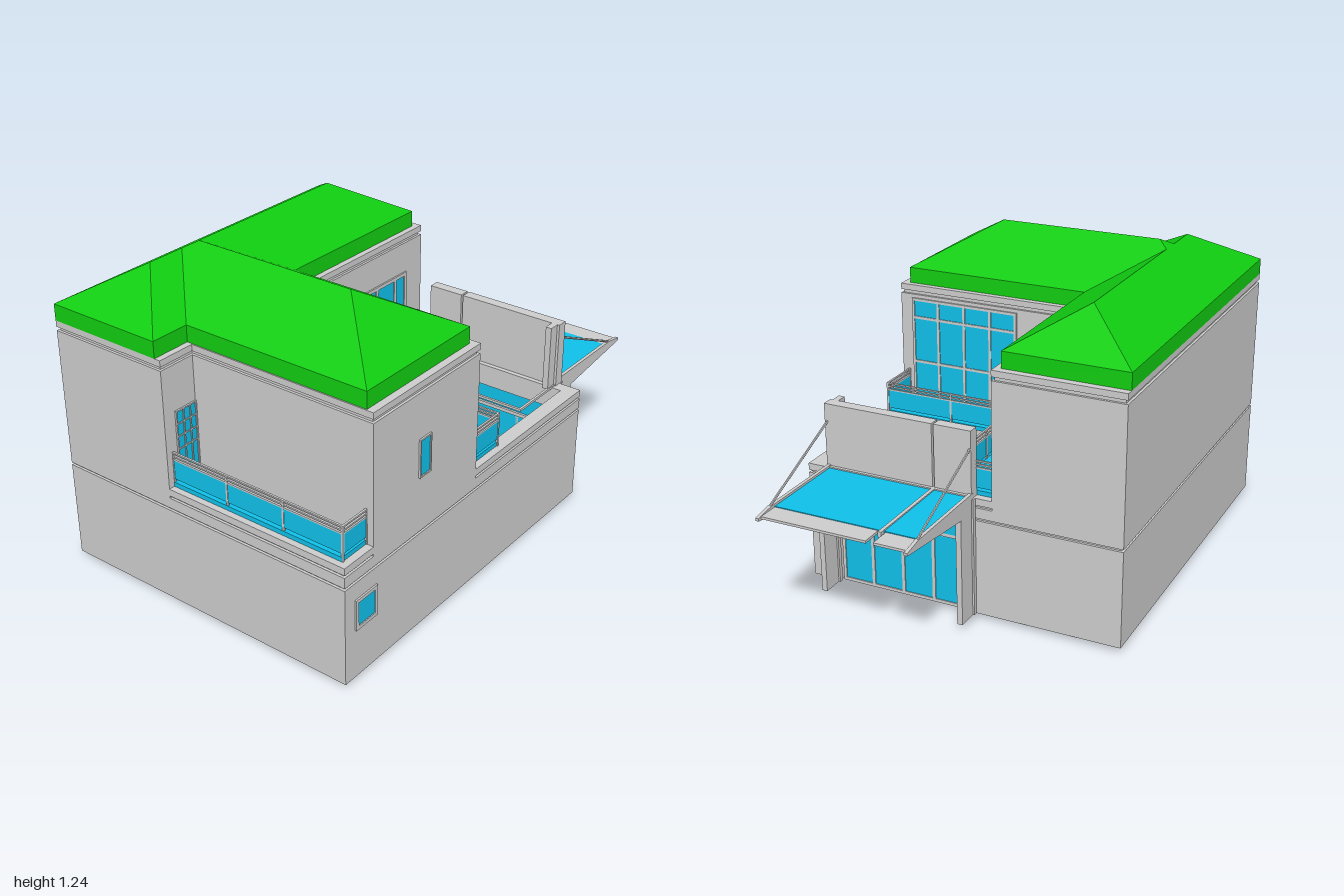
import * as THREE from 'three';

const paint = (color) => new THREE.MeshStandardMaterial({ color, flatShading: true, side: THREE.DoubleSide });

export function createModel() {
  const house = new THREE.Group();
  house.name = 'house';
  const grey = paint(0xcccccc), green = paint(0x11cc11), blue = paint(0x10bfe8), tan = paint(0xe8c8a0);

  function add(name, geometry, material, parent = house) {
    const mesh = new THREE.Mesh(geometry, material);
    mesh.name = name;
    parent.add(mesh);
    return mesh;
  }
  function box(name, x0, x1, y0, y1, z0, z1, material = grey, parent = house) {
    const g = new THREE.BoxGeometry(x1 - x0, y1 - y0, z1 - z0);
    g.translate((x0 + x1) / 2, (y0 + y1) / 2, (z0 + z1) / 2);
    return add(name, g, material, parent);
  }
  // Floor plan of [x, z] corners, raised from y0 to y1
  const toPath = (pts) => pts.map(([x, z]) => new THREE.Vector2(x, -z));
  const rect = (x0, x1, z0, z1) => [[x0, z0], [x1, z0], [x1, z1], [x0, z1]];
  function plan(name, pts, y0, y1, holes = [], material = grey) {
    const shape = new THREE.Shape(toPath(pts));
    for (const h of holes) shape.holes.push(new THREE.Path(toPath(h)));
    const g = new THREE.ExtrudeGeometry(shape, { depth: y1 - y0, bevelEnabled: false });
    g.rotateX(-Math.PI / 2).translate(0, y0, 0);
    return add(name, g, material);
  }
  // L-shaped plan: back wing plus front wing
  const ell = (x0, x1, zBack, zMid, fx0, fx1, zFront) => [
    [x0, zBack], [x1, zBack], [x1, zMid], [fx1, zMid], [fx1, zFront], [fx0, zFront], [fx0, zMid], [x0, zMid]];

  // Plinth and ground floor, with the courtyard open at the gate
  const stairwell = rect(-0.5, -0.25, -0.55, -0.28);
  const leftSlot = rect(-0.97, -0.845, -0.135, 0.62);
  plan('plinth', ell(-0.97, 0.48, -0.62, -0.16, -0.82, -0.25, 0.62), 0, 0.02, [stairwell]);
  plan('groundFloor', [[-1, -0.65], [0.51, -0.65], [0.51, -0.02], [0.46, -0.02], [0.46, -0.135], [-0.235, -0.135],
    [-0.235, 0.59], [0.46, 0.59], [0.46, 0.53], [0.51, 0.53], [0.51, 0.65], [-1, 0.65]], 0.02, 0.41, [leftSlot, stairwell]);

  // Stacked wall bands with narrow grooves between them
  const bands = [['groove', 0.41, 0.42, 0.01], ['parapet', 0.42, 0.462, 0], ['groove', 0.462, 0.472, 0.01], ['parapet', 0.472, 0.5, 0]];
  for (const [name, y0, y1, d] of bands) {
    plan(name, rect(-1 + d, 0.51 - d, -0.65 + d, 0.65 - d), y0, y1, [leftSlot, rect(-0.235, 0.46, -0.135, 0.59)]);
  }

  // Upper floor and cornice
  const upper = (d) => ell(-1 + d, 0.51 - d, -0.65 + d, -0.135 - d, -0.845 + d, -0.235 - d, 0.65 - d);
  plan('upperFloor', upper(0), 0.42, 0.97);
  plan('corniceGroove', upper(0.01), 0.97, 0.985);
  plan('cornice', upper(0), 0.985, 1.01);

  // Hipped roof over a fascia; both wings share one slope
  function hipRoof(name, x0, x1, z0, z1) {
    const e = 1.075, w = Math.min(x1 - x0, z1 - z0) / 2, top = e + w * 0.57;
    const a = [x0, e, z1], b = [x1, e, z1], c = [x1, e, z0], d = [x0, e, z0];
    const alongX = x1 - x0 > z1 - z0, xm = (x0 + x1) / 2, zm = (z0 + z1) / 2;
    const p = alongX ? [x0 + w, top, zm] : [xm, top, z1 - w];
    const q = alongX ? [x1 - w, top, zm] : [xm, top, z0 + w];
    const tris = alongX
      ? [a, b, q, a, q, p, b, c, q, c, d, p, c, p, q, d, a, p]
      : [a, b, p, b, c, q, b, q, p, c, d, q, d, a, p, d, p, q];
    const g = new THREE.BufferGeometry();
    g.setAttribute('position', new THREE.Float32BufferAttribute(tris.flat(), 3));
    g.computeVertexNormals();
    add(name, g, green);
    box(name + 'Fascia', x0, x1, 1.01, e, z0, z1, green);
  }
  hipRoof('backRoof', -1, 0.48, -0.65, -0.16);
  hipRoof('frontRoof', -0.84, -0.26, -0.65, 0.62);

  // Window on a wall facing +z (axis 'z') or +x (axis 'x'); cols and rows list the bar positions
  function glazing(name, axis, wall, cols, rows, bar = 0.01, material = blue) {
    const group = new THREE.Group();
    group.name = name;
    house.add(group);
    const [u0, u1, y0, y1] = [cols[0], cols.at(-1), rows[0], rows.at(-1)];
    const slab = (n, a0, a1, b0, b1, out, m) => axis === 'z'
      ? box(n, a0, a1, b0, b1, wall - 0.012, wall + out, m, group)
      : box(n, wall - 0.012, wall + out, b0, b1, a0, a1, m, group);
    slab('glass', u0, u1, y0, y1, 0.003, material);
    for (const u of cols) slab('mullion', u - bar / 2, u + bar / 2, y0 - bar / 2, y1 + bar / 2, 0.007, grey);
    for (const y of rows) slab('rail', u0, u1, y - bar / 2, y + bar / 2, 0.007, grey);
  }
  glazing('frontLowerWindow', 'z', 0.65, [-0.94, -0.835], [0.225, 0.335], 0.014);
  glazing('frontUpperWindow', 'z', 0.65, [-0.59, -0.53], [0.645, 0.79], 0.006);
  glazing('leftBalconyWindow', 'z', -0.135, [-0.945, -0.91, -0.877, -0.848], [0.52, 0.64, 0.69, 0.74, 0.79], 0.005);
  glazing('smallBackWindow', 'z', -0.135, [-0.07, -0.007], [0.64, 0.79], 0.006);
  glazing('balconyDoor', 'z', -0.135, [0.13, 0.205, 0.325, 0.395], [0.52, 0.835], 0.015);
  glazing('largeSideWindow', 'x', -0.235, [0.125, 0.24, 0.358, 0.477, 0.592], [0.525, 0.68, 0.873, 0.95], 0.011);
  glazing('smallSideWindow', 'x', -0.235, [-0.005, 0.06], [0.64, 0.79], 0.008);
  glazing('courtyardSideWindow', 'x', -0.235, [0.06, 0.19, 0.32, 0.45, 0.57], [0.04, 0.3, 0.38], 0.012);
  glazing('courtyardBackWindow', 'z', -0.135, [0.1, 0.2, 0.3, 0.4], [0.04, 0.36], 0.012);
  for (const y of [0.03, 0.51]) {
    glazing('door', 'z', -0.135, [-0.225, -0.125], [y, y + 0.28], 0.006, tan);
    box('doorPane', -0.19, -0.165, y + 0.2, y + 0.24, -0.14, -0.13, blue);
  }

  // Balcony floors
  box('leftBalconyFloor', -0.975, -0.84, 0.5, 0.518, -0.135, 0.62, blue);
  plan('courtyardBalconyFloor', [[-0.235, -0.135], [0.48, -0.135], [0.48, 0.035], [-0.05, 0.035], [-0.05, 0.62], [-0.235, 0.62]],
    0.5, 0.518, [], blue);

  // Railings: glass panel, three rails, posts
  function railing(name, x0, z0, x1, z1) {
    const group = new THREE.Group();
    group.name = name;
    const length = Math.hypot(x1 - x0, z1 - z0), n = Math.max(1, Math.round(length / 0.28));
    box('glass', 0, length, 0.53, 0.607, -0.002, 0.002, blue, group);
    for (const y of [0.61, 0.623, 0.637]) box('rail', 0, length, y - 0.003, y + 0.003, -0.004, 0.004, grey, group);
    for (let i = 0; i <= n; i++) {
      const u = length * i / n;
      box('post', u - 0.004, u + 0.004, 0.5, 0.64, -0.004, 0.004, grey, group);
    }
    group.position.set(x0, 0, z0);
    group.rotation.y = -Math.atan2(z1 - z0, x1 - x0);
    house.add(group);
  }
  railing('leftSideRailing', -0.97, -0.135, -0.97, 0.62);
  railing('leftFrontRailing', -0.97, 0.62, -0.845, 0.62);
  railing('innerFrontRailing', -0.235, 0.62, -0.05, 0.62);
  railing('innerSideRailing', -0.05, 0.62, -0.05, 0.035);
  railing('innerBackRailing', -0.05, 0.035, 0.48, 0.035);
  railing('innerEndRailing', 0.48, 0.035, 0.48, -0.135);

  // Gate with glazed header
  glazing('gate', 'x', 0.5, [-0.012, 0.115, 0.247, 0.38, 0.51], [0.03, 0.318], 0.013);
  box('gateHeader', 0.47, 0.515, 0.33, 0.41, -0.02, 0.515, blue);
  box('gateLintel', 0.46, 0.512, 0.315, 0.33, -0.02, 0.53);

  // Portal plates and pillars
  box('portalPlate', 0.48, 0.525, 0.5, 0.77, 0.1, 0.555);
  box('portalPlate', 0.48, 0.525, 0.5, 0.77, -0.06, 0.092);
  box('platePost', 0.435, 0.48, 0.5, 0.77, 0.52, 0.545);
  for (const z of [-0.05, 0.54]) {
    box('pillar', 0.51, 0.612, 0.02, 0.45, z - 0.011, z + 0.011);
    box('pillarFlange', 0.51, 0.528, 0.02, 0.5, z - 0.018, z + 0.018);
  }

  // Canopy: tapered brackets, glass, end boards, beams and ties
  const bracket = new THREE.Shape([[0.515, 0.44], [1, 0.497], [1, 0.508], [0.92, 0.522], [0.515, 0.522]].map((p) => new THREE.Vector2(...p)));
  for (const z of [-0.055, 0.545]) {
    const g = new THREE.ExtrudeGeometry(bracket, { depth: 0.014, bevelEnabled: false });
    add('canopyBracket', g.translate(0, 0, z - 0.007), grey);
    const tie = new THREE.LineCurve3(new THREE.Vector3(0.52, 0.7, z), new THREE.Vector3(0.92, 0.52, z));
    add('canopyTie', new THREE.TubeGeometry(tie, 1, 0.005, 6), grey);
  }
  box('canopyGlass', 0.535, 0.9, 0.505, 0.513, -0.05, 0.54, blue);
  box('canopyWallBeam', 0.525, 0.538, 0.495, 0.518, -0.05, 0.54);
  box('canopyEndBoard', 0.9, 0.985, 0.5, 0.51, 0.11, 0.54);
  box('canopyEndBoard', 0.9, 0.985, 0.5, 0.51, -0.05, 0.08);
  box('canopyMiddleBeam', 0.23, 0.92, 0.495, 0.518, 0.086, 0.1);
  box('innerBeam', 0.23, 0.51, 0.495, 0.505, 0.54, 0.55);
  box('innerCrossBeam', 0.225, 0.235, 0.495, 0.505, 0.04, 0.55);

  // Steps inside the stairwell
  for (let i = 0; i < 7; i++) {
    const x = -0.5 + i * 0.034;
    box('step', x, x + 0.036, 0.03 + i * 0.05, 0.055 + i * 0.05, -0.55, -0.4);
  }
  return house;
}
